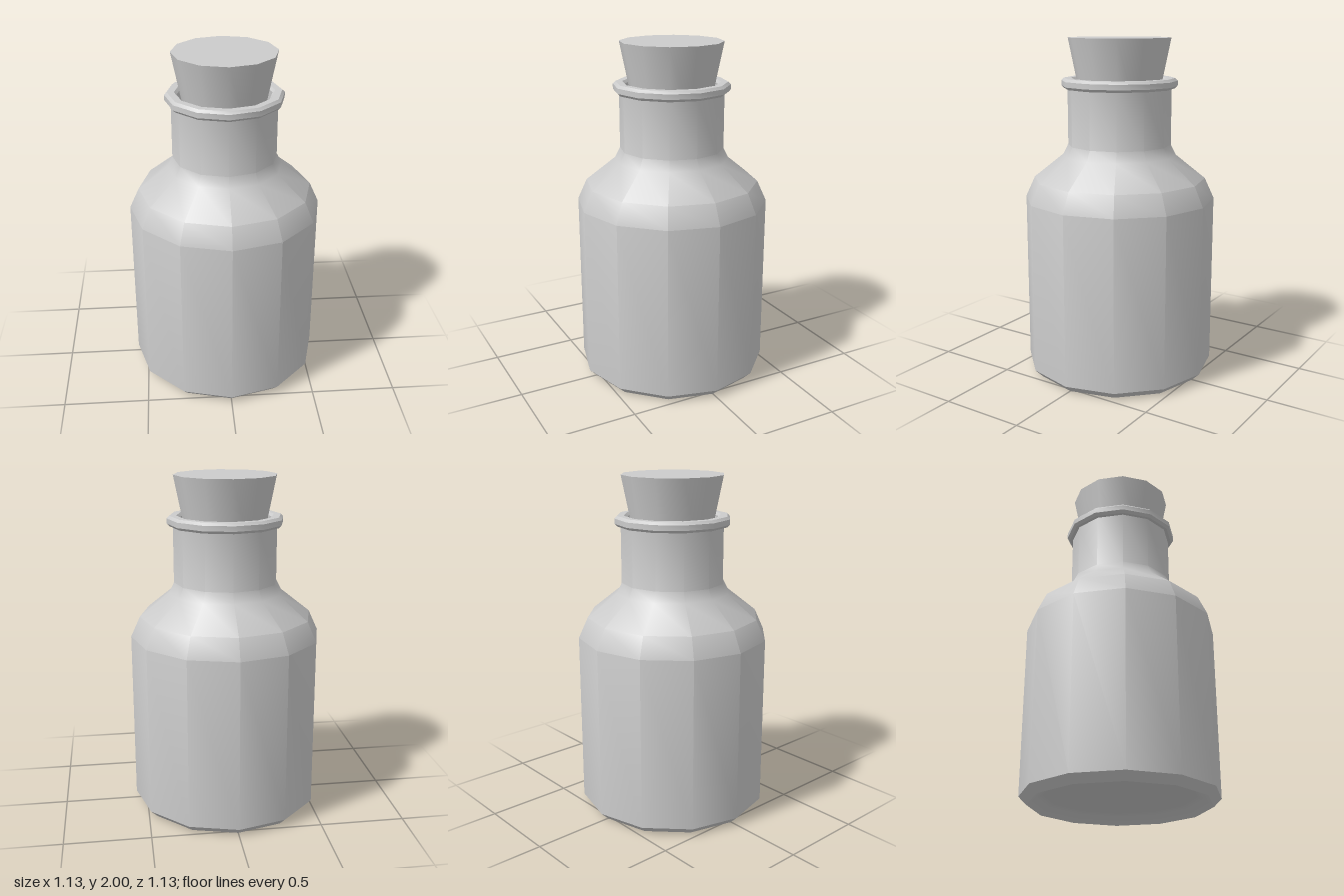
import * as THREE from 'three';
import { toCreasedNormals } from 'three/addons/utils/BufferGeometryUtils.js';

const SIDES = 12;

// Twelve-sided turned part: smooth around, sharp at steep profile corners
function turned(name, profile) {
  const points = profile.map(([r, y]) => new THREE.Vector2(r, y));
  const geometry = toCreasedNormals(new THREE.LatheGeometry(points, SIDES), 0.6);
  const mesh = new THREE.Mesh(geometry, new THREE.MeshStandardMaterial({ color: 0xcccccc }));
  mesh.name = name;
  return mesh;
}

export function createModel() {
  const model = new THREE.Group();
  model.name = 'corkedBottle';

  // Bottle: recessed base, foot bevel, body, shoulder, neck, lip and inner neck
  model.add(turned('bottle', [
    [0, 0.055], [0.43, 0.055], [0.46, 0.045], [0.52, 0],
    [0.565, 0.045], [0.565, 1.06], [0.51, 1.18],
    [0.335, 1.32], [0.305, 1.38], [0.305, 1.71],
    [0.325, 1.71], [0.34, 1.725], [0.34, 1.755], [0.325, 1.77],
    [0.285, 1.77], [0.27, 1.755], [0.27, 1.5], [0, 1.5],
  ]));

  // Stopper: tapered cork sunk into the neck
  model.add(turned('cork', [
    [0, 1.58], [0.215, 1.58], [0.3, 2], [0, 2],
  ]));

  return model;
}
